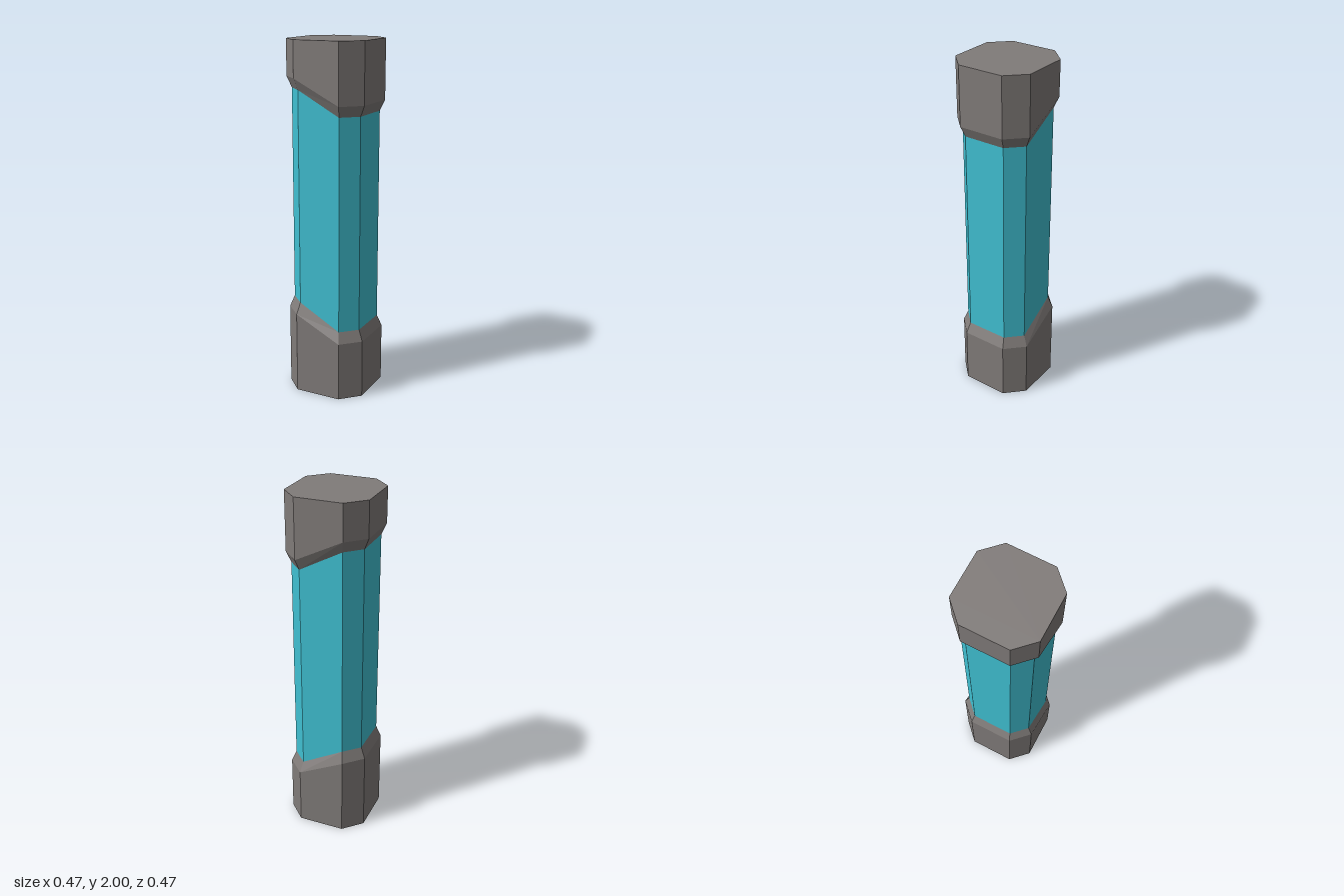
import * as THREE from 'three';

// Chamfered-square ring; y may differ between the -x half and the +x half
function ring(half, corner, yNegX, yPosX = yNegX) {
  const h = half, c = corner;
  return [[-c, h], [c, h], [h, c], [h, -c], [c, -h], [-c, -h], [-h, -c], [-h, c]]
    .map(([x, z]) => [x, x < 0 ? yNegX : yPosX, z]);
}

// Flat-faced skin through rings listed from bottom to top, with optional flat ends
function loft(rings, capBottom, capTop) {
  const pos = [];
  const tri = (a, b, c) => pos.push(...a, ...b, ...c);
  for (let r = 0; r < rings.length - 1; r++) {
    const lo = rings[r], hi = rings[r + 1];
    for (let i = 0; i < 8; i++) {
      const j = (i + 1) % 8;
      tri(lo[i], lo[j], hi[j]);
      tri(lo[i], hi[j], hi[i]);
    }
  }
  const first = rings[0], last = rings[rings.length - 1];
  for (let i = 1; i < 7; i++) {
    if (capBottom) tri(first[0], first[i + 1], first[i]);
    if (capTop) tri(last[0], last[i], last[i + 1]);
  }
  const geo = new THREE.BufferGeometry();
  geo.setAttribute('position', new THREE.Float32BufferAttribute(pos, 3));
  geo.computeVertexNormals();
  return geo;
}

export function createModel() {
  const group = new THREE.Group();
  const casing = new THREE.MeshStandardMaterial({ color: 0x807b79, flatShading: true });
  casing.name = 'warm grey casing';
  const glass = new THREE.MeshStandardMaterial({ color: 0x40c0d2, flatShading: true });
  glass.name = 'turquoise core';

  const add = (name, geo, mat) => {
    const mesh = new THREE.Mesh(geo, mat);
    mesh.name = name;
    group.add(mesh);
  };

  const outer = [0.233, 0.133], inner = [0.207, 0.122];
  const lowSeam = ring(...inner, 0.535, 0.4);
  const highSeam = ring(...inner, 1.738, 1.607);

  // End caps with a slanted, bevelled rim
  add('bottomCap', loft([ring(...outer, 0), ring(...outer, 0.47, 0.337), lowSeam], true, false), casing);
  add('topCap', loft([highSeam, ring(...outer, 1.8, 1.667), ring(...outer, 2)], false, true), casing);

  // Core between the caps
  add('core', loft([lowSeam, highSeam], false, false), glass);

  return group;
}
